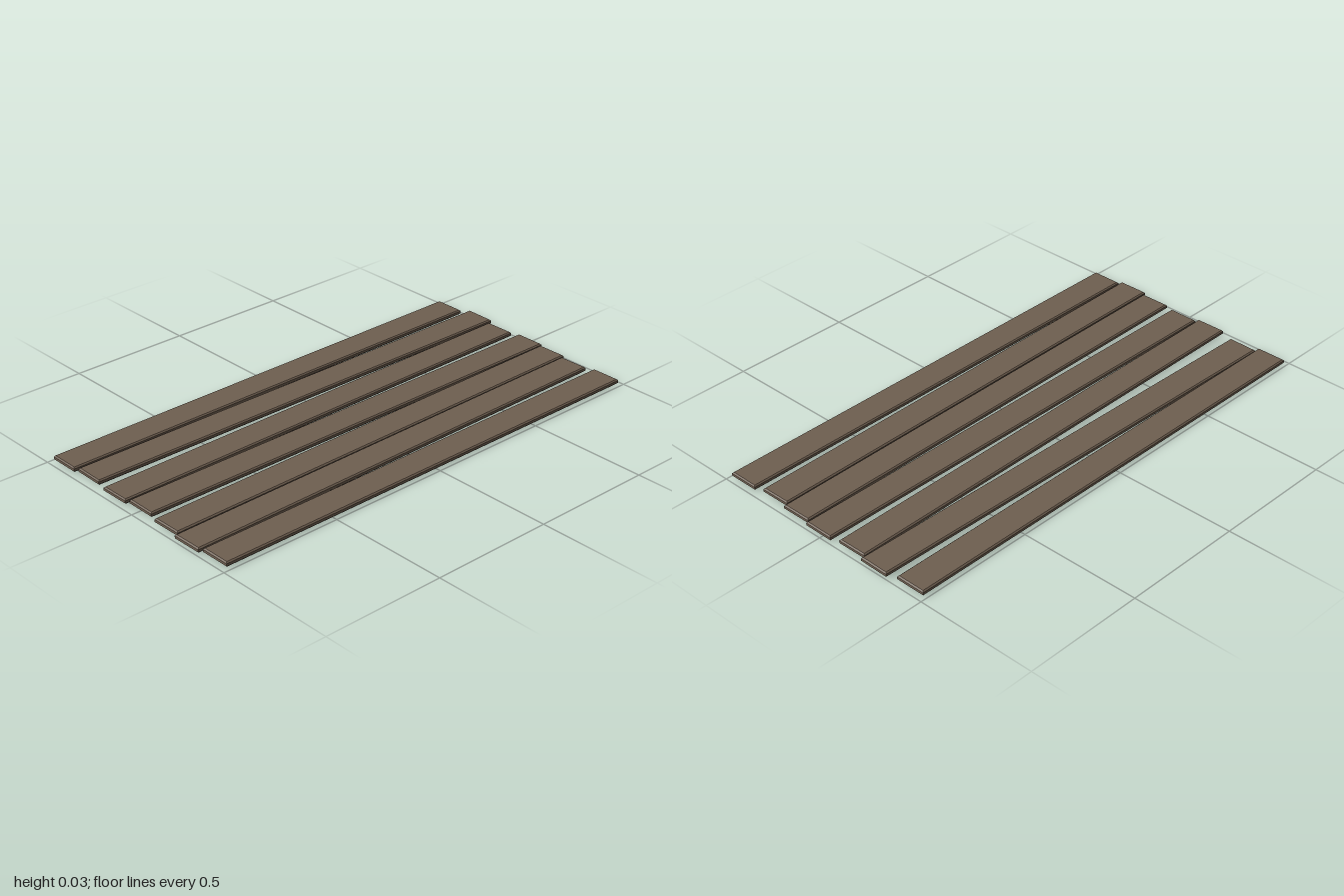
import * as THREE from 'three';

const WIDTH = 0.124, THICK = 0.02, BEVEL = 0.005;

// One chamfered board, centred on the origin and running along z
function boardGeometry(length) {
  const w = WIDTH / 2 - BEVEL, l = length / 2 - BEVEL;
  const outline = new THREE.Shape([
    new THREE.Vector2(-w, -l), new THREE.Vector2(w, -l),
    new THREE.Vector2(w, l), new THREE.Vector2(-w, l),
  ]);
  const geometry = new THREE.ExtrudeGeometry(outline, {
    depth: THICK - 2 * BEVEL, bevelEnabled: true,
    bevelSize: BEVEL, bevelThickness: BEVEL, bevelSegments: 1,
  });
  return geometry.rotateX(-Math.PI / 2).center();
}

export function createModel() {
  const group = new THREE.Group();
  group.name = 'plankFloor';
  const wood = new THREE.MeshStandardMaterial({ color: 0x6f5f50, flatShading: true });
  wood.name = 'weathered wood';

  // Centre of each board's back and front end: x, y, z
  const boards = [
    { back: [-0.428, 0.018, -0.98], front: [-0.428, 0.017, 0.978] },
    { back: [-0.272, 0.022, -1.0], front: [-0.3, 0.013, 0.963] },
    { back: [-0.142, 0.018, -0.98], front: [-0.123, 0.019, 0.981] },
    { back: [0.015, 0.018, -0.992], front: [0.007, 0.018, 0.967] },
    { back: [0.144, 0.018, -0.98], front: [0.166, 0.018, 0.979] },
    { back: [0.272, 0.018, -0.965], front: [0.296, 0.018, 0.994] },
    { back: [0.427, 0.018, -0.98], front: [0.427, 0.018, 0.979] },
  ];

  boards.forEach(({ back, front }, i) => {
    const a = new THREE.Vector3(...back), b = new THREE.Vector3(...front);
    const board = new THREE.Mesh(boardGeometry(a.distanceTo(b)), wood);
    board.name = `plank${i + 1}`;
    board.position.addVectors(a, b).multiplyScalar(0.5);
    board.lookAt(b);
    group.add(board);
  });
  return group;
}
